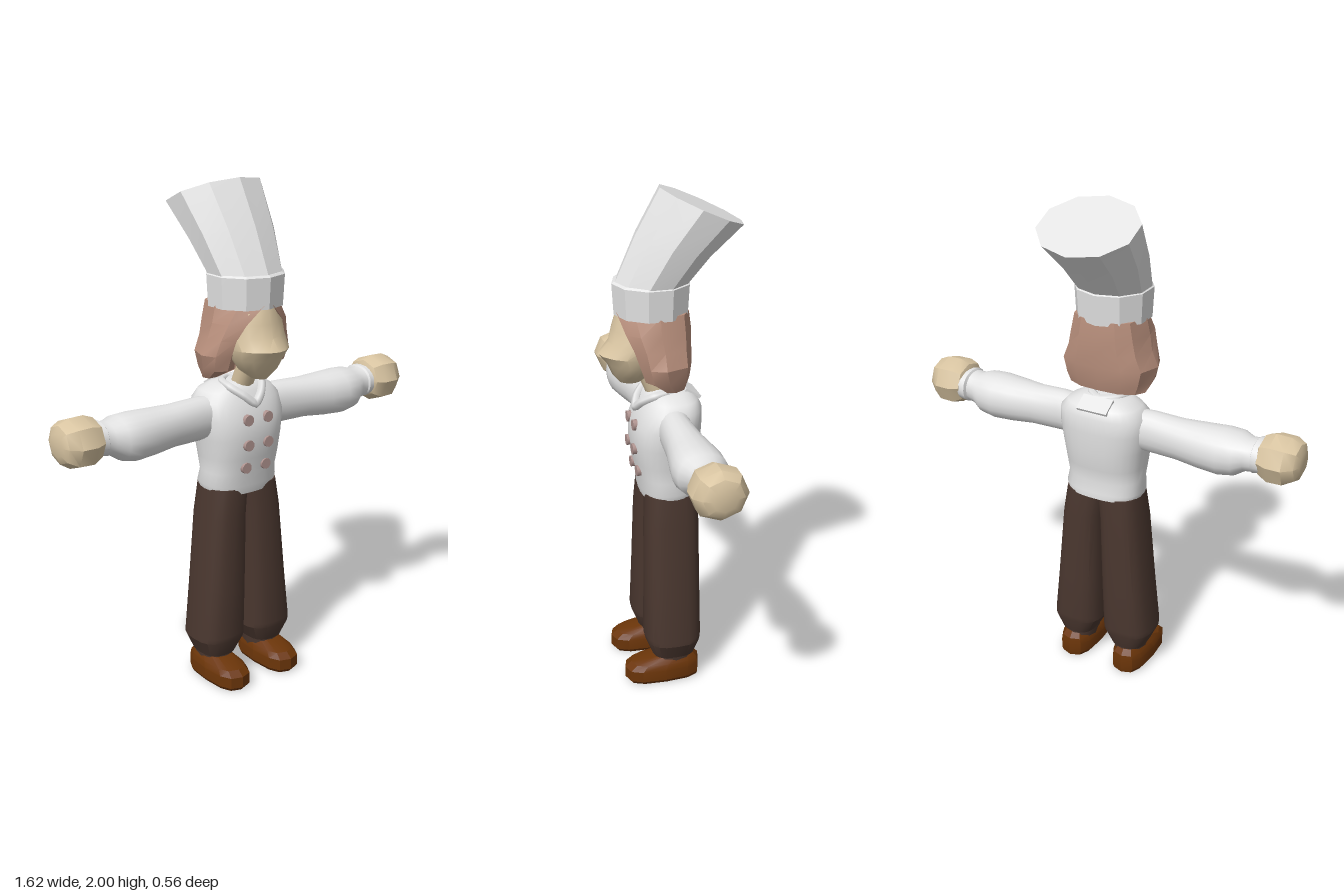
import * as THREE from 'three';
import { toCreasedNormals } from 'three/addons/utils/BufferGeometryUtils.js';

const paint = (name, color, flatShading = false) => {
  const m = new THREE.MeshStandardMaterial({ color, flatShading, side: THREE.DoubleSide });
  m.name = name;
  return m;
};

// Skin stacked rings of points and cap both ends.
function skin(rings, crease = 0) {
  const n = rings[0].length, pos = [], idx = [];
  rings.forEach(r => r.forEach(p => pos.push(...p)));
  for (let i = 0; i < rings.length - 1; i++) {
    for (let j = 0; j < n; j++) {
      const a = i * n + j, b = i * n + (j + 1) % n;
      idx.push(a, a + n, b, b, a + n, b + n);
    }
  }
  [0, rings.length - 1].forEach((i, top) => {
    const mid = [0, 1, 2].map(k => rings[i].reduce((s, p) => s + p[k], 0) / n);
    const c = pos.length / 3;
    pos.push(...mid);
    for (let j = 0; j < n; j++) {
      const a = i * n + j, b = i * n + (j + 1) % n;
      idx.push(...(top ? [c, b, a] : [c, a, b]));
    }
  });
  const g = new THREE.BufferGeometry();
  g.setAttribute('position', new THREE.Float32BufferAttribute(pos, 3));
  g.setIndex(idx);
  return toCreasedNormals(g, crease);
}

// Rounded sections; each row is [y, xMin, xMax, zMin, zMax, rise toward the front].
function loft(rows, { n = 20, p = 2.3, crease = 0.75 } = {}) {
  const bend = v => Math.sign(v) * Math.abs(v) ** (2 / p);
  return skin(rows.map(([y, x0, x1, z0, z1, rise = 0]) =>
    Array.from({ length: n }, (_, k) => {
      const t = Math.PI / 2 + k * Math.PI * 2 / n;
      const c = bend(Math.cos(t)), s = bend(Math.sin(t));
      return [(x0 + x1) / 2 + c * (x1 - x0) / 2, y + s * rise / 2, (z0 + z1) / 2 + s * (z1 - z0) / 2];
    })), crease);
}
const centred = rows => rows.map(([y, w, ...rest]) => [y, -w, w, ...rest]);
const sided = (rows, side) => side > 0 ? rows : rows.map(([y, a, b, ...rest]) => [y, -b, -a, ...rest]);

export function createModel() {
  const white = paint('white cloth', 0xe4e4e4);
  const skinTone = paint('skin', 0xd9c5a2);
  const hairTone = paint('hair brown', 0xb88f7c);
  const buttonTone = paint('button', 0xb09490);
  const trouserTone = paint('trouser brown', 0x4a372f);
  const shoeTone = paint('shoe leather', 0x6b3509);

  const model = new THREE.Group();
  model.name = 'chef';
  const add = (name, geometry, material) => {
    const m = new THREE.Mesh(geometry, material);
    m.name = name;
    model.add(m);
    return m;
  };

  // Jacket body
  add('jacket', loft(centred([
    [0.8, 0.152, -0.095, 0.12, -0.02], [0.83, 0.163, -0.095, 0.128, -0.01], [0.88, 0.156, -0.085, 0.132],
    [0.94, 0.163, -0.098, 0.146], [1.02, 0.174, -0.11, 0.156], [1.1, 0.186, -0.113, 0.153],
    [1.165, 0.18, -0.114, 0.125], [1.2, 0.15, -0.1, 0.105], [1.222, 0.1, -0.07, 0.09],
    [1.232, 0.06, -0.04, 0.07],
  ]), { n: 28, p: 2.5, crease: 1 }), white);

  // Collar loop with a V at the throat, and a flap behind
  const V = (x, y, z) => new THREE.Vector3(x, y, z);
  const loop = new THREE.CatmullRomCurve3([
    V(0, 1.155, 0.135), V(0.04, 1.188, 0.118), V(0.075, 1.218, 0.075), V(0.06, 1.225, 0),
    V(0, 1.222, -0.04), V(-0.06, 1.225, 0), V(-0.075, 1.218, 0.075), V(-0.04, 1.188, 0.118),
  ], true, 'catmullrom', 0.3);
  add('collar', new THREE.TubeGeometry(loop, 32, 0.018, 6, true), white);
  const flap = add('collarFlap', new THREE.BoxGeometry(0.13, 0.012, 0.07), white);
  flap.position.set(0, 1.212, -0.078);
  flap.rotation.x = -0.55;

  // Two columns of buttons
  for (const [y, z] of [[1.1, 0.147], [1, 0.15], [0.905, 0.134]]) {
    for (const side of [1, -1]) {
      const b = add('button', new THREE.CylinderGeometry(0.022, 0.022, 0.026, 10), buttonTone);
      b.rotation.x = Math.PI / 2;
      b.position.set(side * 0.047, y, z);
    }
  }

  // Arm rows run outward from the shoulder; x spans hold the negated heights
  const sleeve = [
    [0.1, -1.185, -1.03, -0.05, 0.08], [0.2, -1.188, -1.02, -0.04, 0.088], [0.32, -1.182, -1.02, -0.05, 0.1],
    [0.42, -1.185, -1.01, -0.063, 0.118], [0.5, -1.188, -1.006, -0.07, 0.13], [0.56, -1.185, -1.018, -0.066, 0.125],
    [0.6, -1.172, -1.045, -0.045, 0.1], [0.63, -1.175, -1.05, -0.042, 0.097],
    [0.635, -1.182, -1.05, -0.055, 0.104], [0.665, -1.18, -1.056, -0.055, 0.104],
  ];
  const hand = [
    [0.645, -1.165, -1.065, -0.03, 0.09], [0.66, -1.2, -1.045, -0.058, 0.118], [0.7, -1.215, -1.022, -0.072, 0.132],
    [0.76, -1.213, -1.025, -0.072, 0.132], [0.8, -1.195, -1.05, -0.045, 0.105], [0.812, -1.165, -1.08, -0.015, 0.075],
  ];

  const trouser = [
    [0.11, 0.05, 0.19, -0.065, 0.105], [0.18, 0.012, 0.222, -0.088, 0.133], [0.2, 0.012, 0.221, -0.09, 0.135],
    [0.4, 0.005, 0.2, -0.09, 0.13], [0.7, -0.002, 0.171, -0.09, 0.124], [0.815, -0.015, 0.154, -0.084, 0.117],
  ];
  const ankle = [[0.06, 0.058, 0.182, -0.065, 0.105], [0.13, 0.052, 0.186, -0.065, 0.105]];
  const shoe = [
    [0, 0.06, 0.19, -0.085, 0.21], [0.015, 0.05, 0.2, -0.088, 0.222], [0.06, 0.05, 0.2, -0.088, 0.222],
    [0.082, 0.058, 0.192, -0.085, 0.195], [0.105, 0.075, 0.175, -0.065, 0.11],
  ];

  for (const side of [1, -1]) {
    const prefix = side > 0 ? 'left' : 'right';
    const limb = (name, rows, mat, opt) =>
      add(prefix + name, loft(sided(rows, side), opt).rotateZ(-side * Math.PI / 2), mat);
    limb('Sleeve', sleeve, white, { p: 2.2 });
    limb('Hand', hand, skinTone, { n: 8, p: 2.1, crease: 0.7 });
    const low = (name, rows, mat, opt) => add(prefix + name, loft(sided(rows, side), opt), mat);
    low('TrouserLeg', trouser, trouserTone, { n: 20, p: 2.8, crease: 0.45 });
    low('Ankle', ankle, trouserTone, { n: 12 });
    low('Shoe', shoe, shoeTone, { n: 12, p: 2.8, crease: 0.4 });
  }

  // Neck leans forward into a face with a pointed nose ridge
  add('neck', loft(centred([[1.17, 0.042, -0.02, 0.075], [1.33, 0.042, 0.06, 0.145]]), { n: 10 }), skinTone);
  add('face', loft(centred([
    [1.265, 0.03, 0.11, 0.195], [1.3, 0.078, 0.07, 0.225], [1.345, 0.108, 0.04, 0.245],
    [1.385, 0.12, 0.02, 0.277], [1.43, 0.124, 0.02, 0.238], [1.48, 0.12, 0.02, 0.226], [1.54, 0.1, 0, 0.21],
  ]), { n: 16, p: 1.75, crease: 0.6 }), skinTone);

  // Bobbed hair: [y, front edge x, z, side x, z, back z, hollow z behind the face]
  const hair = [
    [1.262, 0.12, 0.05, 0.165, 0.02, -0.05, 0.0], [1.3, 0.125, 0.125, 0.182, 0.045, -0.06, 0.01],
    [1.36, 0.122, 0.145, 0.198, 0.06, -0.066, 0.03], [1.42, 0.115, 0.165, 0.17, 0.06, -0.068, 0.03],
    [1.48, 0.088, 0.19, 0.156, 0.07, -0.07, 0.03], [1.55, 0.02, 0.21, 0.14, 0.07, -0.062, 0.03],
  ];
  add('hair', skin(hair.map(([y, ex, ez, sx, sz, b, h]) => {
    const half = [[ex, ez], [(ex + sx) / 2 + 0.015, (ez + sz) / 2 + 0.015], [sx, sz], [sx * 0.85, b * 0.4], [sx * 0.5, b * 0.92]];
    return [[0, h], ...half.map(([x, z]) => [-x, z]), [0, b], ...half.reverse()].map(([x, z]) => [x, y, z]);
  }), 0.5), hairTone);

  // Tall hat: faceted band and a crown leaning back
  const facets = { n: 10, p: 2, crease: 0.3 };
  add('hatBand', loft(centred([
    [1.535, 0.148, -0.075, 0.215], [1.655, 0.154, -0.083, 0.222], [1.662, 0.143, -0.07, 0.212],
  ]), facets), white);
  add('hatCrown', loft(centred([
    [1.65, 0.147, -0.068, 0.212], [1.79, 0.175, -0.155, 0.13, 0.08], [1.93, 0.2, -0.28, 0.035, 0.14],
  ]), facets), white);

  return model;
}
